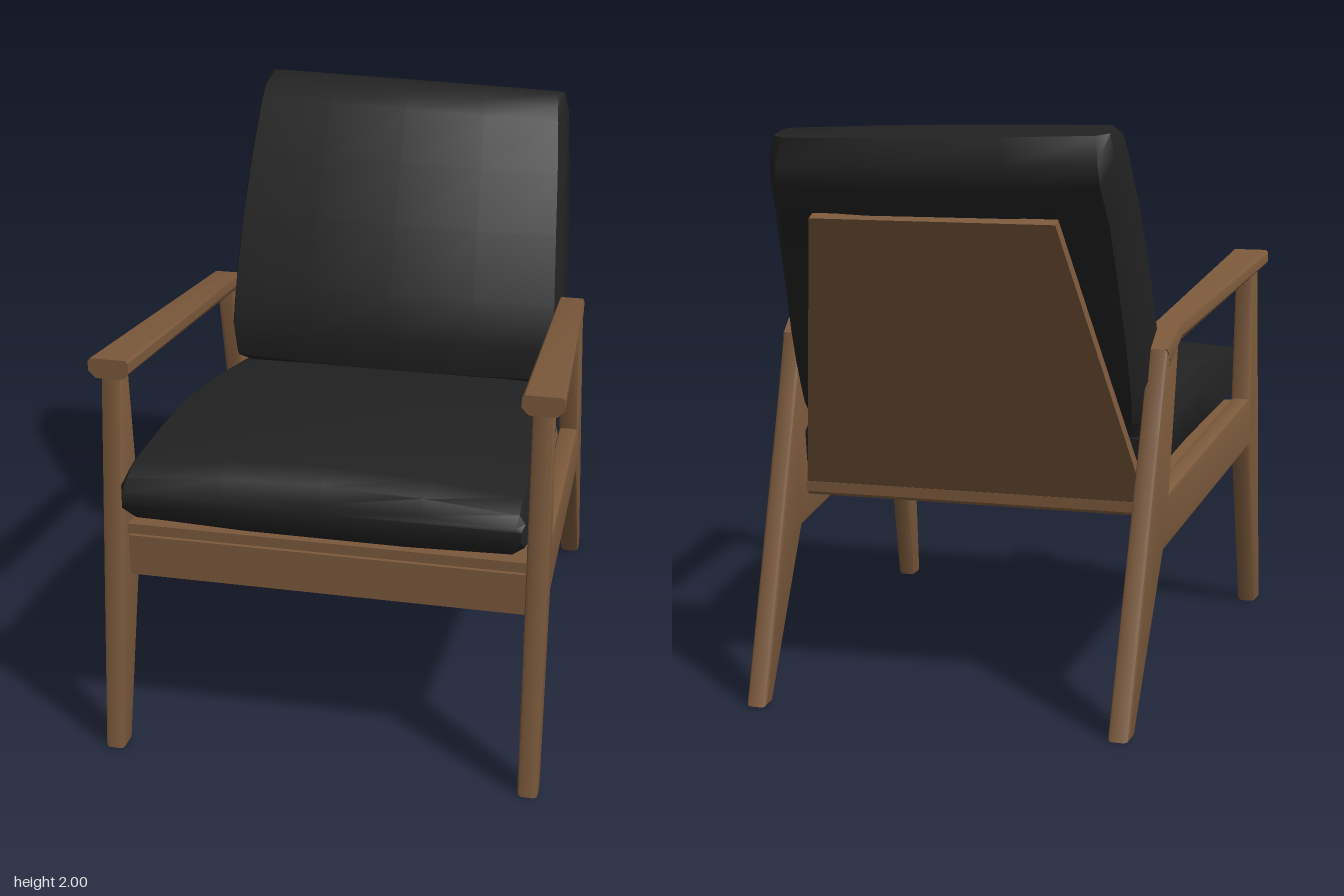
import * as THREE from 'three';
import { toCreasedNormals } from 'three/addons/utils/BufferGeometryUtils.js';

const wood = new THREE.MeshStandardMaterial({ color: 0x7d5a3c });
wood.name = 'walnut wood';
const leather = new THREE.MeshStandardMaterial({ color: 0x222222 });
leather.name = 'black upholstery';

// Outlines: u runs across the width (-1..1), v from the face (0) to the underside (1)
const SLAB = [[-1, 0], [1, 0], [1, 1], [-1, 1]];
const ARM = [[-0.88, 0], [0.88, 0], [1, 0.15], [1, 0.65], [0.65, 1], [-0.65, 1], [-1, 0.65], [-1, 0.15]];
const PILLOW = [
  [-0.97, 0.14], [-0.5, 0.04], [0, 0], [0.5, 0.04], [0.97, 0.14], [1, 0.3], [1, 0.75],
  [0.93, 0.92], [0.4, 1], [-0.4, 1], [-0.93, 0.92], [-1, 0.75], [-1, 0.3],
];

// The side frames splay outwards towards the front
const frameX = (z) => 0.64 + 0.05 * (z + 0.94);

// Skin an outline through sections [faceZ, faceY, underZ, underY, halfWidth]
function loft(outline, sections, crease, { centreX = () => 0, warp } = {}) {
  const pos = [], index = [], n = outline.length, last = sections.length - 1;
  const add = (s, u, v) => {
    const z = s[0] + (s[2] - s[0]) * v;
    const p = new THREE.Vector3(centreX(z) + u * s[4], s[1] + (s[3] - s[1]) * v, z);
    if (warp) warp(p, u);
    pos.push(p.x, p.y, p.z);
  };
  sections.forEach((s) => outline.forEach(([u, v]) => add(s, u, v)));
  add(sections[0], 0, 0.5);
  add(sections[last], 0, 0.5);
  const startCap = n * sections.length;
  for (let j = 0; j < n; j++) {
    const k = (j + 1) % n;
    for (let i = 0; i < last; i++) {
      const a = i * n + j, b = i * n + k;
      index.push(a, b, b + n, a, b + n, a + n);
    }
    index.push(startCap, k, j, startCap + 1, last * n + j, last * n + k);
  }
  const geo = new THREE.BufferGeometry();
  geo.setAttribute('position', new THREE.Float32BufferAttribute(pos, 3));
  geo.setIndex(index);
  geo.computeVertexNormals();
  return toCreasedNormals(geo, crease);
}

// Front leg, side rail and rear leg cut as one bevelled piece
function sideFrameGeometry(side) {
  const outline = [
    [0.965, 0], [0.825, 1.39], [0.75, 1.39], [0.71, 0.865], [-0.46, 0.74], [-0.355, 1.25],
    [-0.38, 1.3], [-0.5, 1.24], [-0.595, 0.96], [-0.935, 0], [-0.86, 0], [-0.525, 0.55],
    [0.725, 0.675], [0.89, 0],
  ];
  const shape = new THREE.Shape(outline.map(([z, y]) => new THREE.Vector2(z, y)));
  const bevel = 0.014, thickness = 0.072;
  const geo = new THREE.ExtrudeGeometry(shape, {
    depth: thickness - 2 * bevel, bevelEnabled: true, bevelSize: bevel,
    bevelThickness: bevel, bevelOffset: -bevel, bevelSegments: 2,
  });
  geo.translate(0, 0, bevel - thickness / 2);
  geo.rotateY(-Math.PI / 2);
  const p = geo.attributes.position;
  for (let i = 0; i < p.count; i++) p.setX(i, p.getX(i) + side * frameX(p.getZ(i)));
  return toCreasedNormals(geo, 0.7);
}

export function createModel() {
  const chair = new THREE.Group();
  chair.name = 'armchair';
  const part = (name, geo, material, parent = chair) => {
    const mesh = new THREE.Mesh(geo, material);
    mesh.name = name;
    parent.add(mesh);
    return mesh;
  };

  // Side frames with armrests
  for (const [label, side] of [['left', 1], ['right', -1]]) {
    const group = new THREE.Group();
    group.name = `${label}Side`;
    chair.add(group);
    part(`${label}Frame`, sideFrameGeometry(side), wood, group);
    part(`${label}Armrest`, loft(ARM, [
      [0.845, 1.44, 0.845, 1.37, 0.07],
      [-0.375, 1.315, -0.355, 1.245, 0.047],
      [-0.5, 1.24, -0.47, 1.15, 0.037],
    ], 0.5, { centreX: (z) => side * frameX(z) }), wood, group);
  }

  // Front rail, with a recessed strip below the seat board
  part('frontRail', new THREE.BoxGeometry(1.38, 0.15, 0.07).translate(0, 0.71, 0.8), wood);
  part('frontRailRebate', new THREE.BoxGeometry(1.38, 0.06, 0.03).translate(0, 0.785, 0.79), wood);

  // Seat and back boards
  part('seatBoard', loft(SLAB, [
    [0.845, 0.835, 0.845, 0.798, 0.69],
    [-0.48, 0.702, -0.48, 0.665, 0.625],
  ], 0.3), wood);
  part('backBoard', loft(SLAB, [
    [-0.415, 0.665, -0.455, 0.65, 0.632],
    [-0.89, 1.705, -0.925, 1.69, 0.42],
  ], 0.3), wood);

  // Seat cushion, front to back, with the front edge bowing in slightly
  part('seatCushion', loft(PILLOW, [
    [0.885, 1.0, 0.89, 0.93, 0.68],
    [0.86, 1.055, 0.865, 0.87, 0.69],
    [0.78, 1.09, 0.81, 0.835, 0.69],
    [0.5, 1.1, 0.5, 0.8, 0.68],
    [0.25, 1.095, 0.25, 0.78, 0.668],
    [0, 1.06, 0, 0.755, 0.652],
    [-0.26, 1.01, -0.26, 0.73, 0.638],
    [-0.5, 0.96, -0.47, 0.71, 0.622],
  ], 0.75, { warp: (p, u) => { if (p.z > 0.7) p.z += 0.025 * u * u; } }), leather);

  // Back cushion, bottom to top, leaning slightly to one side
  part('backCushion', loft(PILLOW, [
    [-0.4, 0.945, -0.5, 0.92, 0.6],
    [-0.26, 1.01, -0.555, 0.98, 0.625],
    [-0.23, 1.15, -0.605, 1.05, 0.635],
    [-0.28, 1.3, -0.695, 1.25, 0.632],
    [-0.39, 1.545, -0.79, 1.47, 0.62],
    [-0.515, 1.75, -0.875, 1.67, 0.607],
    [-0.625, 1.925, -0.955, 1.79, 0.592],
    [-0.67, 1.975, -0.97, 1.87, 0.585],
    [-0.78, 1.995, -0.93, 1.96, 0.57],
  ], 0.75, {
    warp: (p) => {
      const rise = Math.max(0, p.y - 1);
      p.y -= 0.022 * p.x * rise;
      p.x -= 0.02 * rise;
    },
  }), leather);

  return chair;
}
